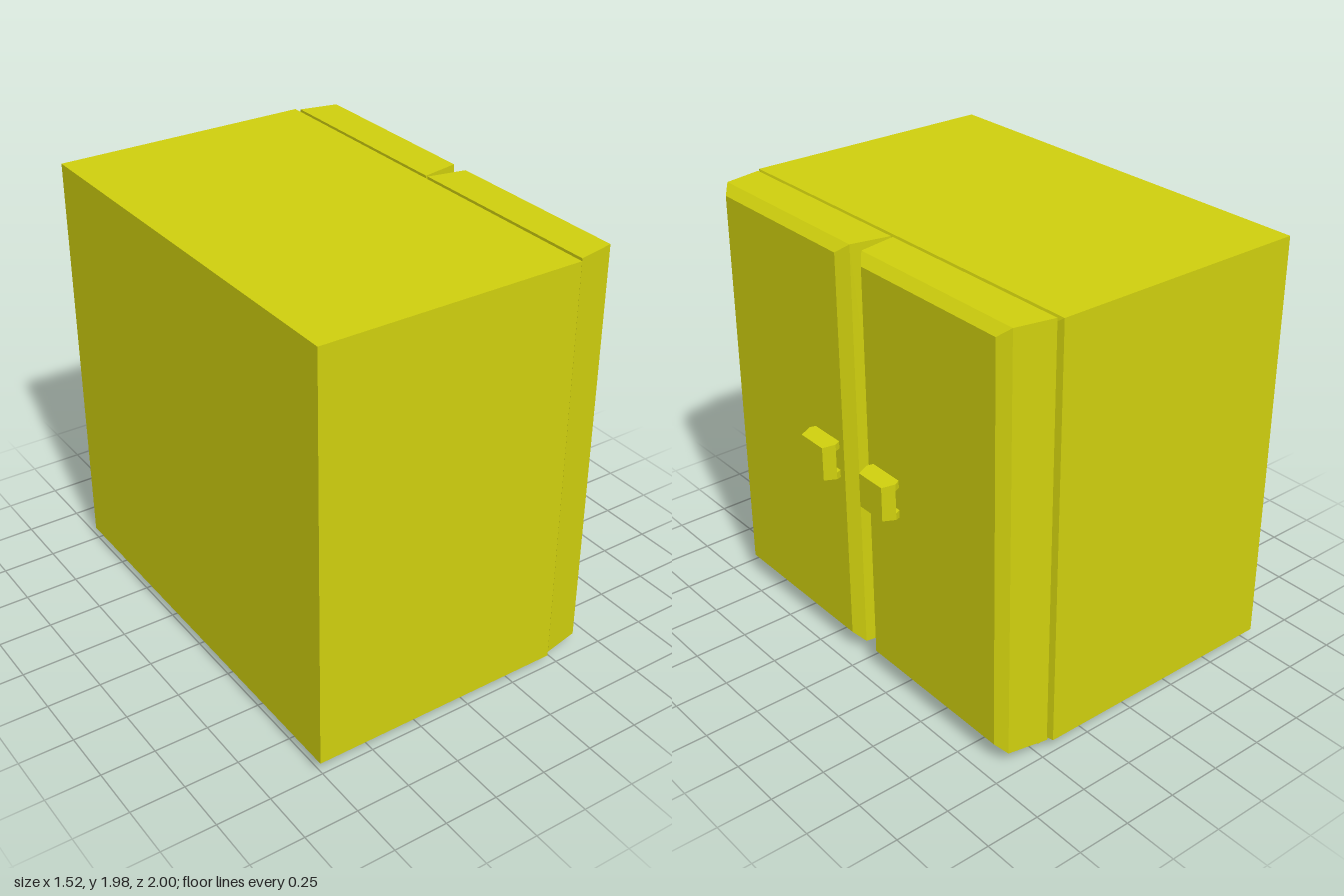
import * as THREE from 'three';

// Solid built from rectangular sections [x, y0, y1, z0, z1] ordered along +x
function loft(sections) {
  const rings = sections.map(([x, y0, y1, z0, z1]) =>
    [[x, y0, z0], [x, y1, z0], [x, y1, z1], [x, y0, z1]]);
  const pos = [];
  const quad = (a, b, c, d) => [a, b, c, a, c, d].forEach((p) => pos.push(...p));
  for (let s = 0; s < rings.length - 1; s++) {
    const a = rings[s], b = rings[s + 1];
    for (let i = 0; i < 4; i++) {
      const j = (i + 1) % 4;
      quad(a[i], a[j], b[j], b[i]);
    }
  }
  const first = rings[0], last = rings[rings.length - 1];
  quad(first[3], first[2], first[1], first[0]);
  quad(...last);
  const geo = new THREE.BufferGeometry();
  geo.setAttribute('position', new THREE.Float32BufferAttribute(pos, 3));
  geo.computeVertexNormals();
  return geo;
}

export function createModel() {
  const model = new THREE.Group();
  model.name = 'cabinet';
  const yellow = new THREE.MeshStandardMaterial({ color: 0xd0d00e });
  yellow.name = 'yellow';

  const add = (parent, name, sections) => {
    const mesh = new THREE.Mesh(loft(sections), yellow);
    mesh.name = name;
    parent.add(mesh);
  };

  // Carcass with bevelled front edge, and recessed plinth
  add(model, 'body', [
    [-0.76, 0.06, 1.98, -1, 1],
    [0.445, 0.06, 1.98, -1, 1],
    [0.462, 0.06, 1.93, -0.93, 0.93],
  ]);
  add(model, 'plinth', [
    [-0.69, 0, 0.06, -0.925, 0.925],
    [0.46, 0, 0.06, -0.925, 0.925],
  ]);

  for (const side of [1, -1]) {
    // Section mirrored in z, keeping z0 < z1
    const sec = (x, y0, y1, a, b) => (side > 0 ? [x, y0, y1, a, b] : [x, y0, y1, -b, -a]);
    const suffix = side > 0 ? 'A' : 'B';

    // Tapered door with chamfered face
    add(model, 'door' + suffix, [
      sec(0.463, 0.06, 1.98, 0.006, 0.982),
      sec(0.64, 0.06, 1.98, 0.04, 0.946),
      sec(0.68, 0.1, 1.94, 0.09, 0.9),
    ]);

    // Handle: flared grip held off the door by two legs
    const handle = new THREE.Group();
    handle.name = 'handle' + suffix;
    model.add(handle);
    add(handle, 'grip', [
      sec(0.705, 0.932, 1.037, 0.112, 0.307),
      sec(0.76, 0.905, 1.06, 0.133, 0.285),
    ]);
    add(handle, 'upperLeg', [
      sec(0.68, 1.037, 1.072, 0.122, 0.296),
      sec(0.705, 1.037, 1.069, 0.112, 0.307),
      sec(0.76, 1.058, 1.062, 0.133, 0.285),
    ]);
    add(handle, 'lowerLeg', [
      sec(0.68, 0.897, 0.932, 0.122, 0.296),
      sec(0.705, 0.9, 0.932, 0.112, 0.307),
      sec(0.76, 0.904, 0.908, 0.133, 0.285),
    ]);
  }
  return model;
}
